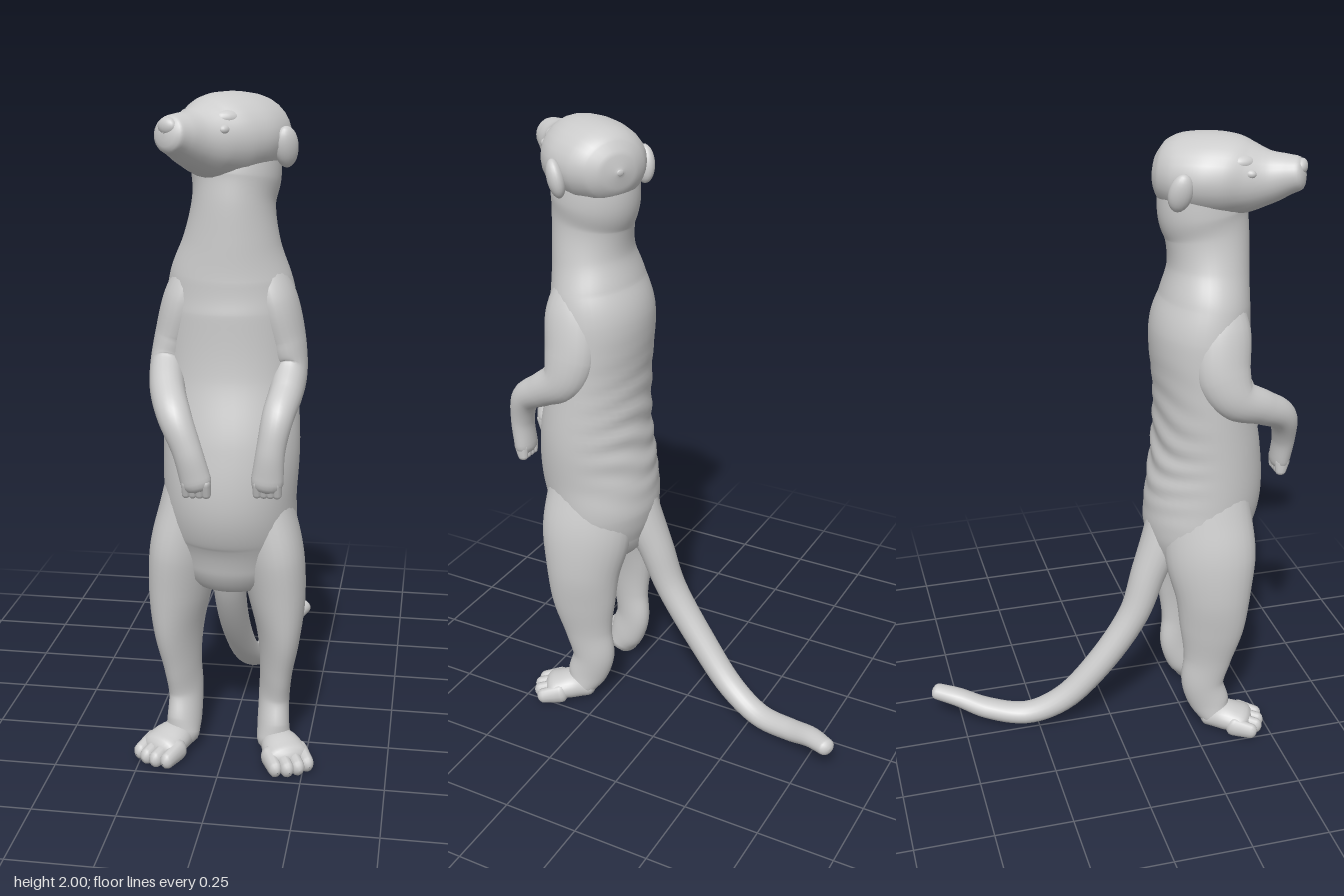
import * as THREE from 'three';

const material = new THREE.MeshStandardMaterial({ color: 0xcccccc, roughness: 0.8 });
const V = (x, y, z) => new THREE.Vector3(x, y, z);

// Smooth body through stations [x, y, z, halfWidth, halfDepth], with domed ends.
function loft(name, stations, { side = V(1, 0, 0), steps = 6, sides = 28, dome = 1, shape } = {}) {
  const centres = new THREE.CatmullRomCurve3(stations.map(s => V(s[0], s[1], s[2])));
  const radii = new THREE.CatmullRomCurve3(stations.map(s => V(s[3], s[4], 0)), false, 'catmullrom', 0.5);
  const count = (stations.length - 1) * steps;
  const rings = [];
  const addRing = (t, shift, scale) => {
    const r = radii.getPoint(t);
    const tangent = centres.getTangent(t);
    const c = centres.getPoint(t).addScaledVector(tangent, shift * dome * Math.min(r.x, r.y));
    const u = side.clone().addScaledVector(tangent, -side.dot(tangent)).normalize();
    const v = tangent.clone().cross(u);
    rings.push({ c, u, v, a: r.x * scale, b: r.y * scale });
  };
  const angles = [1.54, 1.2, 0.8, 0.4];
  angles.forEach(k => addRing(0, -Math.sin(k), Math.cos(k)));
  for (let i = 0; i <= count; i++) addRing(i / count, 0, 1);
  angles.slice().reverse().forEach(k => addRing(1, Math.sin(k), Math.cos(k)));

  const positions = [], index = [];
  rings.forEach((ring, i) => {
    for (let j = 0; j < sides; j++) {
      const angle = j / sides * Math.PI * 2;
      const p = ring.c.clone()
        .addScaledVector(ring.u, ring.a * Math.cos(angle))
        .addScaledVector(ring.v, ring.b * Math.sin(angle));
      if (shape) shape(p);
      positions.push(p.x, p.y, p.z);
      if (i === rings.length - 1) continue;
      const k = i * sides + j, n = i * sides + (j + 1) % sides;
      index.push(k, n, k + sides, n, n + sides, k + sides);
    }
  });
  const geometry = new THREE.BufferGeometry();
  geometry.setAttribute('position', new THREE.Float32BufferAttribute(positions, 3));
  geometry.setIndex(index);
  geometry.computeVertexNormals();
  const mesh = new THREE.Mesh(geometry, material);
  mesh.name = name;
  return mesh;
}

function ellipsoid(name, position, scale) {
  const mesh = new THREE.Mesh(new THREE.SphereGeometry(1, 20, 14), material);
  mesh.name = name;
  mesh.position.set(...position);
  mesh.scale.set(...scale);
  return mesh;
}

// Uneven fur folds across the lower back
function backFolds(p) {
  const band = Math.exp(-(((p.y - 1.02) / 0.2) ** 2));
  const back = THREE.MathUtils.clamp((0.32 - p.z) / 0.15, 0, 1);
  p.z += 0.004 * band * back * Math.sin(p.y * 80 + 2 * Math.sin(p.x * 14 + p.y * 9));
}

function createTorso() {
  return loft('torso', [
    [0.03, 1.85, 0.287, 0.125, 0.132], [0.03, 1.77, 0.292, 0.126, 0.137],
    [0.025, 1.7, 0.305, 0.118, 0.128], [0.02, 1.6, 0.31, 0.137, 0.124],
    [0.015, 1.5, 0.3, 0.173, 0.137], [0.015, 1.4, 0.288, 0.19, 0.155],
    [0.015, 1.2, 0.3, 0.195, 0.15], [0.02, 1.0, 0.32, 0.2, 0.173],
    [0.015, 0.85, 0.315, 0.196, 0.186], [0.015, 0.73, 0.293, 0.192, 0.172],
    [0.012, 0.63, 0.29, 0.165, 0.143],
  ], { steps: 12, sides: 40, dome: 0.7, shape: backFolds });
}

// Head is modelled facing +z about its centre, then turned to its right
function createHead() {
  const head = new THREE.Group();
  head.name = 'head';
  head.add(loft('skull', [
    [0, 0.0, -0.162, 0.012, 0.01], [0, 0.0, -0.152, 0.062, 0.055],
    [0, 0.0, -0.128, 0.103, 0.09], [0, 0.002, -0.08, 0.136, 0.113],
    [0, 0.004, 0, 0.15, 0.121], [0, 0.004, 0.07, 0.136, 0.118],
    [0, 0.002, 0.13, 0.104, 0.102], [0, 0.006, 0.185, 0.075, 0.079],
    [0, 0.016, 0.235, 0.06, 0.061], [0, 0.022, 0.27, 0.05, 0.05],
  ], { dome: 0.4 }));
  head.add(ellipsoid('nose', [0, 0.042, 0.276], [0.03, 0.024, 0.018]));
  for (const s of [-1, 1]) {
    // Low ear flap standing off the side of the skull
    const ear = ellipsoid(s > 0 ? 'leftEar' : 'rightEar', [s * 0.148, -0.022, -0.045], [0.026, 0.058, 0.036]);
    ear.rotation.set(0.2, s * -0.35, s * -0.1);
    const brow = ellipsoid('brow', [s * 0.066, 0.058, 0.11], [0.03, 0.024, 0.045]);
    brow.rotation.y = s * -0.5;
    head.add(ear, brow, ellipsoid('eye', [s * 0.083, 0.03, 0.142], [0.013, 0.013, 0.018]));
  }
  head.position.set(0.025, 1.875, 0.3);
  head.rotation.y = -0.53;
  return head;
}

// Arm from shoulder to hanging paw, with short fingers joined at the base
function createArm(name, stations) {
  const arm = new THREE.Group();
  arm.name = name;
  arm.add(loft('armAndPaw', stations, { steps: 8, sides: 22 }));
  const [x, y, z] = stations[stations.length - 1];
  for (let i = 0; i < 4; i++) {
    const k = (i - 1.5) * 0.019;
    arm.add(loft('finger', [
      [x + k, y, z, 0.014, 0.025], [x + k, y - 0.036, z - 0.004, 0.013, 0.018],
    ], { sides: 10, steps: 3 }));
  }
  return arm;
}

function createLeg(s) {
  const leg = new THREE.Group();
  leg.name = s > 0 ? 'leftLeg' : 'rightLeg';
  const X = x => 0.007 + s * x;
  // Knee turned outward
  leg.add(loft('thighAndShin', [
    [0.08, 0.95, 0.31, 0.08, 0.115], [0.1, 0.8, 0.3, 0.092, 0.14],
    [0.127, 0.66, 0.303, 0.096, 0.147], [0.147, 0.52, 0.31, 0.083, 0.122],
    [0.152, 0.4, 0.308, 0.062, 0.105], [0.145, 0.28, 0.3, 0.047, 0.08],
    [0.138, 0.18, 0.288, 0.045, 0.071], [0.139, 0.1, 0.313, 0.048, 0.068],
    [0.143, 0.055, 0.33, 0.052, 0.053],
  ].map(([x, ...rest]) => [X(x), ...rest]), { side: V(1, 0, -0.4 * s), dome: 0.8 }));
  // Foot turned outward, with four short toes across its front
  const across = V(0.89, 0, -0.45 * s);
  leg.add(loft('foot', [
    [X(0.141), 0.043, 0.315, 0.044, 0.038], [X(0.166), 0.05, 0.36, 0.06, 0.047],
    [X(0.195), 0.044, 0.415, 0.068, 0.04],
  ], { side: across, dome: 0.8 }));
  for (let i = 0; i < 4; i++) {
    const k = (i - 1.5) * 0.034, reach = 0.056 - Math.abs(i - 1.5) * 0.012;
    const x = 0.193 + 0.89 * k, z = 0.415 - 0.45 * k;
    leg.add(loft('toe', [
      [X(x - 0.01), 0.04, z - 0.02, 0.023, 0.034],
      [X(x + 0.45 * reach), 0.03, z + 0.89 * reach, 0.021, 0.027],
    ], { side: across, sides: 12, steps: 4 }));
  }
  return leg;
}

export function createModel() {
  const model = new THREE.Group();
  model.name = 'standingMeerkat';
  model.add(createTorso(), createHead());
  model.add(createArm('leftArm', [
    [0.11, 1.52, 0.31, 0.055, 0.075], [0.144, 1.42, 0.315, 0.066, 0.092],
    [0.175, 1.3, 0.312, 0.06, 0.086], [0.19, 1.225, 0.335, 0.051, 0.07],
    [0.187, 1.175, 0.41, 0.048, 0.055], [0.174, 1.125, 0.485, 0.045, 0.046],
    [0.159, 1.04, 0.513, 0.041, 0.037], [0.149, 0.945, 0.513, 0.046, 0.033],
  ]));
  model.add(createArm('rightArm', [
    [-0.075, 1.52, 0.31, 0.055, 0.075], [-0.112, 1.42, 0.315, 0.066, 0.092],
    [-0.146, 1.3, 0.315, 0.06, 0.086], [-0.16, 1.23, 0.35, 0.052, 0.07],
    [-0.145, 1.185, 0.44, 0.05, 0.056], [-0.11, 1.13, 0.525, 0.048, 0.047],
    [-0.07, 1.04, 0.553, 0.042, 0.037], [-0.045, 0.95, 0.553, 0.044, 0.032],
  ]));
  for (const s of [-1, 1]) model.add(createLeg(s));
  // Tail sweeps down behind, then curls along the ground
  model.add(loft('tail', [
    [0, 0.8, 0.2, 0.06, 0.065], [-0.008, 0.68, 0.17, 0.066, 0.066],
    [-0.016, 0.57, 0.128, 0.06, 0.058], [-0.025, 0.42, 0.075, 0.052, 0.05],
    [-0.02, 0.23, -0.05, 0.047, 0.046], [0.0, 0.1, -0.17, 0.044, 0.042],
    [0.03, 0.044, -0.29, 0.042, 0.036], [0.07, 0.06, -0.42, 0.04, 0.034],
    [0.11, 0.092, -0.51, 0.036, 0.03], [0.145, 0.103, -0.575, 0.03, 0.027],
  ], { sides: 20, dome: 0.7 }));
  return model;
}
